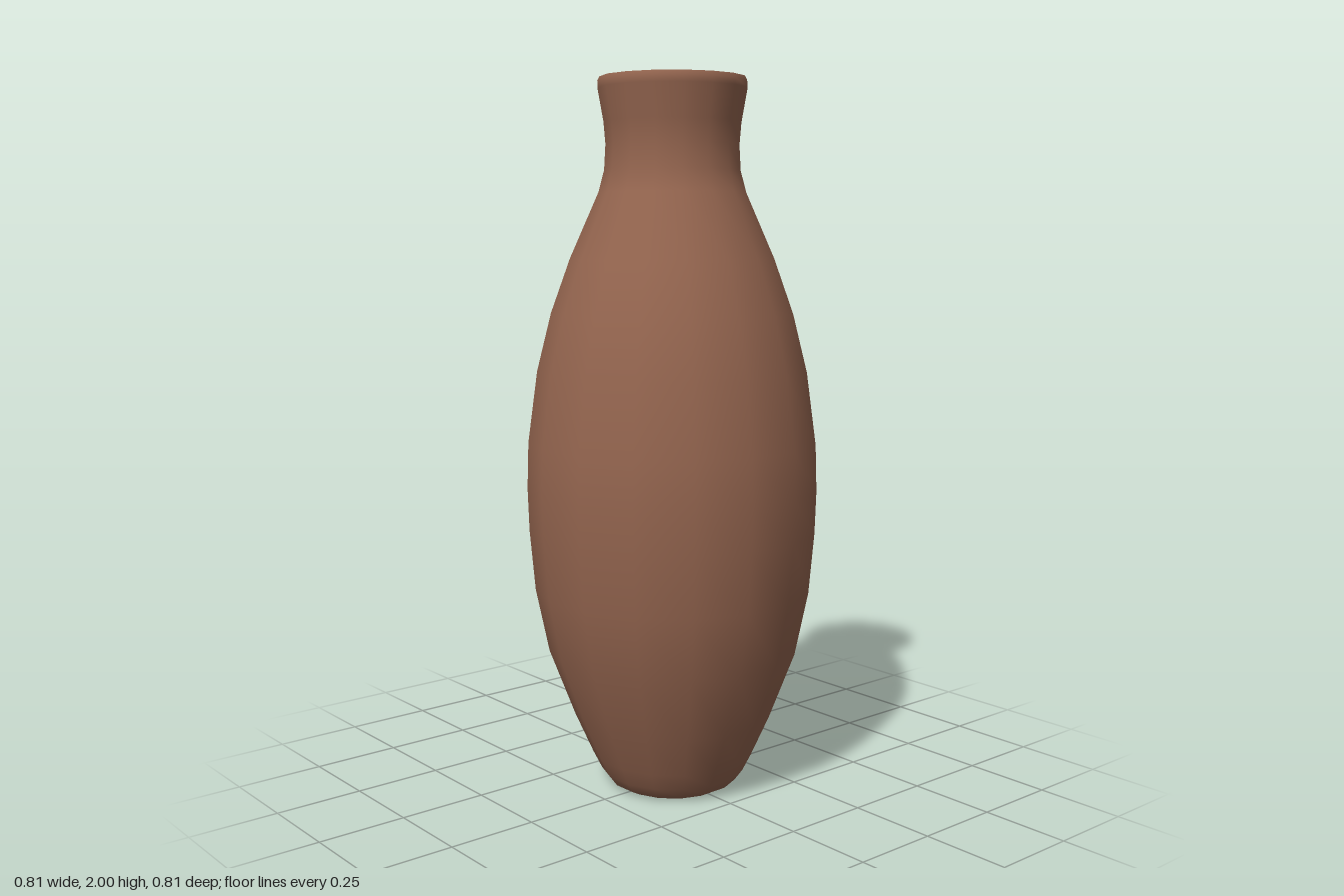
import * as THREE from 'three';

const SIDES = 16;
const TURN = THREE.MathUtils.degToRad(12.9); // where the first facet corner sits

export function createModel() {
  const model = new THREE.Group();
  model.name = 'vase';
  const clay = new THREE.MeshStandardMaterial({ color: 0x94654f });
  clay.name = 'brown clay';

  // Revolve a [radius, height] profile; profiles run with the surface on their right
  const addTurned = (name, profile) => {
    const points = profile.map(([r, y]) => new THREE.Vector2(r, y));
    const mesh = new THREE.Mesh(new THREE.LatheGeometry(points, SIDES, TURN), clay);
    mesh.name = name;
    model.add(mesh);
  };

  // Flat foot, separate so its edge stays crisp
  addTurned('foot', [[0, 0], [0.157, 0]]);

  // Outer belly, shoulder and neck
  addTurned('outerWall', [
    [0.157, 0], [0.185, 0.015], [0.207, 0.045], [0.232, 0.095], [0.283, 0.21],
    [0.355, 0.4], [0.392, 0.58], [0.407, 0.75], [0.411, 0.87], [0.407, 1.0],
    [0.38, 1.2], [0.34, 1.36], [0.286, 1.51], [0.206, 1.69], [0.19, 1.75],
    [0.186, 1.82], [0.191, 1.88], [0.207, 1.97], [0.207, 1.988], [0.201, 2.0],
  ]);

  // Rounded lip
  addTurned('lip', [[0.201, 2.0], [0.19, 2.0], [0.182, 1.99]]);

  // Hollow inside, from the lip down to the floor
  addTurned('innerWall', [
    [0.182, 1.99], [0.181, 1.96], [0.168, 1.88], [0.163, 1.82], [0.167, 1.76],
    [0.183, 1.69], [0.262, 1.51], [0.316, 1.36], [0.357, 1.2], [0.384, 1.0],
    [0.388, 0.87], [0.384, 0.75], [0.369, 0.58], [0.332, 0.4], [0.26, 0.21],
    [0.21, 0.11], [0.18, 0.06], [0.14, 0.035], [0, 0.03],
  ]);

  return model;
}
